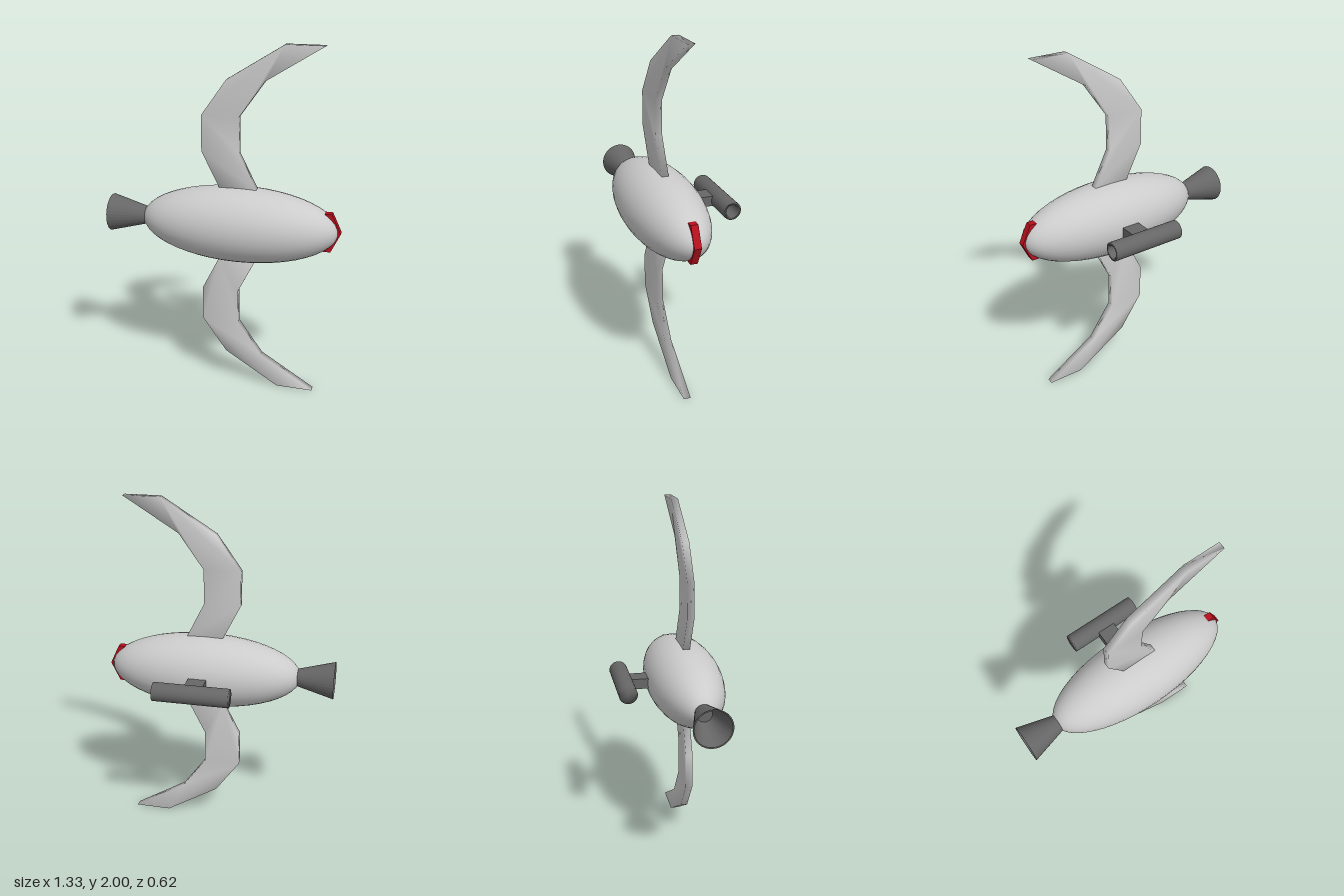
import * as THREE from 'three';
import { mergeVertices } from 'three/addons/utils/BufferGeometryUtils.js';

const CY = 1, CZ = 0.09; // long axis of the hull

export function createModel() {
  const model = new THREE.Group();
  const grey = new THREE.MeshStandardMaterial({ color: 0xcccccc });
  const dark = new THREE.MeshStandardMaterial({ color: 0x666666, side: THREE.DoubleSide });
  const red = new THREE.MeshStandardMaterial({ color: 0xb8101e });

  const add = (name, geometry, material, x = 0, y = CY, z = CZ) => {
    const mesh = new THREE.Mesh(geometry, material);
    mesh.name = name;
    mesh.position.set(x, y, z);
    model.add(mesh);
    return mesh;
  };

  // Flat plate extruded along z, centred on its own mid plane
  const plate = (points, thickness) => {
    const shape = new THREE.Shape(points.map(([x, y]) => new THREE.Vector2(x, y)));
    return new THREE.ExtrudeGeometry(shape, { depth: thickness, bevelEnabled: false })
      .translate(0, 0, -thickness / 2);
  };

  // Hull: ellipsoid lying along x
  const hull = new THREE.SphereGeometry(1, 32, 24);
  hull.rotateZ(-Math.PI / 2).scale(0.56, 0.215, 0.215);
  add('hull', hull, grey, 0.088);

  // Nozzle: open flared cone at the tail, with a closed throat
  const nozzle = new THREE.LatheGeometry(
    [[0.05, 0], [0.107, 0.213], [0.1, 0.213], [0.043, 0.02], [0, 0.02]]
      .map(([r, h]) => new THREE.Vector2(r, h)), 32);
  nozzle.rotateZ(Math.PI / 2);
  const nozzleMesh = add('nozzle', nozzle.toNonIndexed(), dark, -0.453);
  nozzleMesh.geometry.computeVertexNormals();

  // Swept fins: five sections each, with normals blended across the edges
  const leading = [[-0.02, 0.21], [-0.12, 0.41], [-0.12, 0.61], [0.02, 0.808], [0.33, 1]];
  for (const side of [1, -1]) {
    const front = leading.map(([x, y]) => [x, y * side]);
    const back = front.map(([x, y]) => [x + 0.21, y]).reverse();
    let fin = plate([...front, ...back], 0.04);
    fin.deleteAttribute('normal');
    fin.deleteAttribute('uv');
    fin = mergeVertices(fin);
    fin.computeVertexNormals();
    add(side > 0 ? 'upperFin' : 'lowerFin', fin, grey);
  }

  // Nose guard: bent band wrapped over the tip
  add('noseGuard', plate([
    [0.57, 0.11], [0.61, 0.11], [0.662, 0], [0.61, -0.11], [0.57, -0.11], [0.61, 0],
  ], 0.04), red);

  // Side tube: blind bore open towards the nose
  const tube = new THREE.LatheGeometry(
    [[0, 0], [0.053, 0], [0.053, 0.43], [0.036, 0.43], [0.036, 0.03], [0, 0.03]]
      .map(([r, h]) => new THREE.Vector2(r, h)), 32);
  tube.rotateZ(-Math.PI / 2);
  add('sideTube', tube, dark, -0.125, CY, -0.26);

  // Strut joining the tube to the hull
  add('tubeStrut', new THREE.BoxGeometry(0.105, 0.06, 0.14), dark, 0.088, CY, -0.155);

  return model;
}
